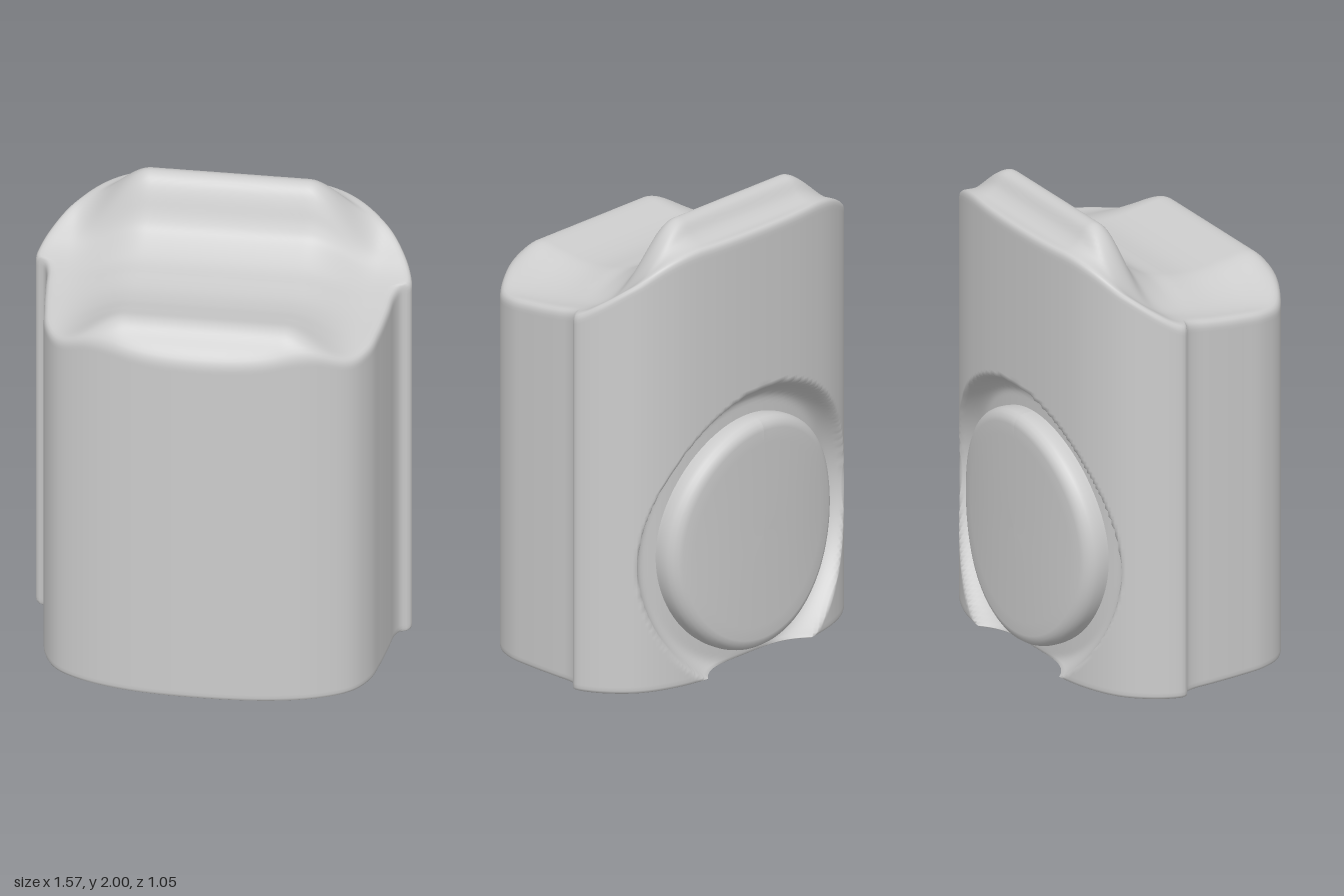
import * as THREE from 'three';

const COLS = 280, SIDE_ROWS = 110, CAP_ROWS = 44;
const DISC_Y = 0.555, DISC_R = 0.505, RECESS_R = 0.645, RECESS_DEPTH = 0.1;

// half footprint from back centre to front centre (x, z), mirrored below
const HALF = [
  [0, -0.53], [0.3, -0.515], [0.5, -0.475], [0.65, -0.4], [0.75, -0.28], [0.785, -0.185],
  [0.778, -0.163], [0.745, -0.145], [0.727, -0.1], [0.718, 0], [0.702, 0.15], [0.68, 0.27],
  [0.62, 0.375], [0.5, 0.45], [0.3, 0.505], [0, 0.525],
];

// height along the middle, and along the side rim, as (z, y)
const MIDDLE = [
  [-0.54, 1.91], [-0.47, 1.91], [-0.42, 1.94], [-0.385, 1.987], [-0.34, 2.0], [-0.3, 1.975],
  [-0.27, 1.92], [-0.24, 1.845], [-0.2, 1.785], [-0.1, 1.72], [0, 1.697], [0.1, 1.685],
  [0.2, 1.69], [0.3, 1.707], [0.39, 1.72], [0.44, 1.7], [0.49, 1.635], [0.53, 1.59],
];
const RIM = [[-0.54, 1.91], [-0.4, 1.81], [-0.28, 1.72], [-0.17, 1.66], [0, 1.625], [0.2, 1.6], [0.4, 1.58], [0.53, 1.575]];

// smooth lookup through a few points
function lookup(points) {
  const pts = new THREE.SplineCurve(points.map(p => new THREE.Vector2(...p))).getPoints(150);
  return t => {
    let i = 1;
    while (i < pts.length - 1 && pts[i].x < t) i++;
    const a = pts[i - 1], b = pts[i];
    const f = THREE.MathUtils.clamp((t - a.x) / (b.x - a.x), 0, 1);
    return a.y + (b.y - a.y) * f;
  };
}

const middle = lookup(MIDDLE), rim = lookup(RIM);

// top surface: ridges in the middle fade into the rim at the sides
function topHeight(x, z) {
  const w = 1 - THREE.MathUtils.smoothstep(Math.abs(x), 0.33, 0.65);
  return rim(z) + (middle(z) - rim(z)) * w;
}

const backZ = x => -0.53 + 0.15 * x * x + 0.3 * x ** 4;

// round recess pressed into the back
function recess(x, y, z) {
  if (z > -0.2) return 0;
  const t = THREE.MathUtils.clamp((RECESS_R - Math.hypot(x, y - DISC_Y)) / 0.09, 0, 1);
  return RECESS_DEPTH * (1 - (1 - t) ** 2);
}

function bodyGeometry() {
  const loop = [...HALF, ...HALF.slice(1, -1).reverse().map(([x, z]) => [-x, z])];
  const outline = new THREE.CatmullRomCurve3(loop.map(([x, z]) => new THREE.Vector3(x, 0, z)), true)
    .getSpacedPoints(COLS).slice(0, COLS);
  const pos = [], index = [];
  const ring = fn => outline.forEach(p => pos.push(...fn(p)));

  // flat underside with a small rounded edge
  for (const [s, y] of [[0, 0], [0.5, 0], [0.96, 0], [0.985, 0], [0.995, 0.004]]) {
    ring(p => [p.x * s, y, (p.z + recess(p.x, 0, p.z)) * s]);
  }
  // walls
  for (let r = 0; r <= SIDE_ROWS; r++) {
    ring(p => {
      const y = THREE.MathUtils.lerp(0.015, topHeight(p.x, p.z) - 0.035, r / SIDE_ROWS);
      return [p.x, y, p.z + recess(p.x, y, p.z)];
    });
  }
  // rounded top edge, then the sculpted top
  const tops = [[0.997, 0.02], [0.988, 0.009], [0.975, 0.003]];
  for (let r = 0; r <= CAP_ROWS; r++) tops.push([0.955 * (1 - r / CAP_ROWS), 0]);
  for (const [s, drop] of tops) {
    ring(p => [p.x * s, topHeight(p.x * s, p.z * s) - drop, p.z * s]);
  }

  const rows = pos.length / 3 / COLS;
  for (let r = 0; r < rows - 1; r++) {
    for (let i = 0; i < COLS; i++) {
      const a = r * COLS + i, b = r * COLS + (i + 1) % COLS;
      index.push(a, a + COLS, b, b, a + COLS, b + COLS);
    }
  }
  const g = new THREE.BufferGeometry();
  g.setAttribute('position', new THREE.Float32BufferAttribute(pos, 3));
  g.setIndex(index);
  g.computeVertexNormals();
  return g;
}

// round pad with a soft edge, bent to follow the curved back
function discGeometry() {
  const R = DISC_R;
  const profile = [
    [R - 0.01, -0.14], [R, -0.08], [R, -0.05], [R - 0.004, -0.032], [R - 0.014, -0.016], [R - 0.03, -0.005],
    [R - 0.05, 0], [0.4, 0], [0.3, 0], [0.2, 0], [0.1, 0], [0, 0],
  ].map(p => new THREE.Vector2(...p));
  const g = new THREE.LatheGeometry(profile, 96).rotateX(-Math.PI / 2);
  const p = g.attributes.position;
  for (let i = 0; i < p.count; i++) p.setZ(i, p.getZ(i) + backZ(p.getX(i)));
  g.computeVertexNormals();
  return g.translate(0, DISC_Y, 0);
}

export function createModel() {
  const grey = new THREE.MeshStandardMaterial({ color: 0xcccccc });
  grey.name = 'light grey';
  const group = new THREE.Group();
  group.name = 'moulded case';
  const add = (name, geometry) => {
    const mesh = new THREE.Mesh(geometry, grey);
    mesh.name = name;
    group.add(mesh);
  };
  add('body', bodyGeometry());
  add('backDisc', discGeometry());
  return group;
}
